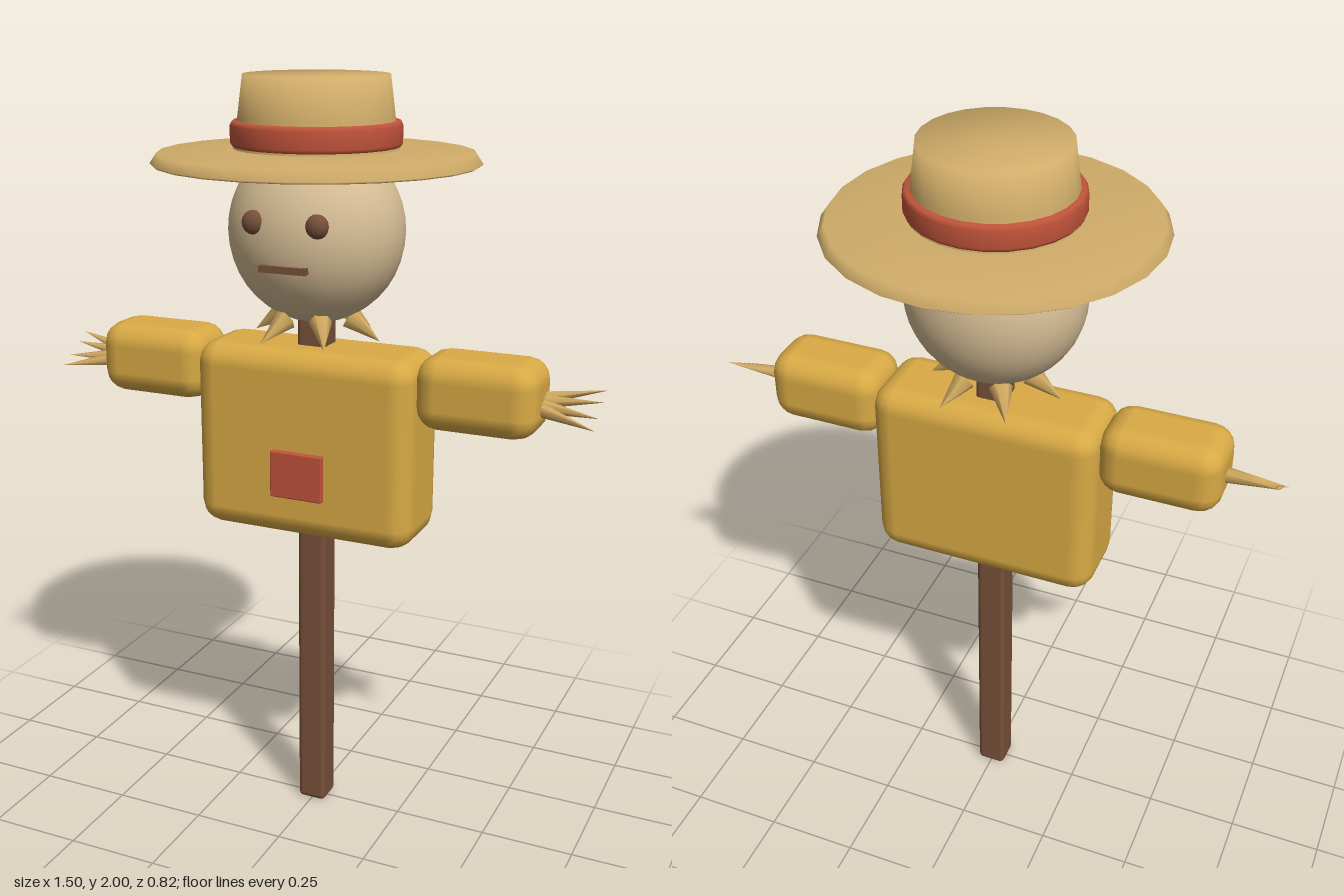
import * as THREE from 'three';
import { RoundedBoxGeometry } from 'three/addons/geometries/RoundedBoxGeometry.js';

const material = (name, color) => {
  const m = new THREE.MeshStandardMaterial({ color });
  m.name = name;
  return m;
};

export function createModel() {
  const shirt = material('shirt yellow', 0xd9aa45);
  const hat = material('hat tan', 0xcfac69);
  const straw = material('straw', 0xd4ac62);
  const burlap = material('burlap', 0xd6bd95);
  const wood = material('dark wood', 0x775039);
  const red = material('faded red', 0xc0533a);
  hat.side = THREE.DoubleSide;

  const model = new THREE.Group();
  model.name = 'scarecrow';

  const add = (name, geometry, mat, x = 0, y = 0, z = 0) => {
    const mesh = new THREE.Mesh(geometry, mat);
    mesh.name = name;
    mesh.position.set(x, y, z);
    model.add(mesh);
    return mesh;
  };
  const box = (name, mat, [w, h, d], radius, [x, y, z]) =>
    add(name, new RoundedBoxGeometry(w, h, d, 2, radius), mat, x, y, z);
  const lathe = (name, mat, points) =>
    add(name, new THREE.LatheGeometry(points.map(([r, y]) => new THREE.Vector2(r, y)), 24), mat);

  // Pointed straw stalk running from a base point to a tip
  const up = new THREE.Vector3(0, 1, 0);
  const stalk = (name, radius, from, to) => {
    const a = new THREE.Vector3(...from), b = new THREE.Vector3(...to);
    const dir = b.clone().sub(a);
    const mesh = add(name, new THREE.ConeGeometry(radius, dir.length(), 6), straw);
    mesh.position.copy(a).add(b).multiplyScalar(0.5);
    mesh.quaternion.setFromUnitVectors(up, dir.normalize());
  };

  // Post, body and patch
  box('post', wood, [0.08, 1.44, 0.08], 0.014, [0, 0.72, 0]);
  box('torso', shirt, [0.608, 0.505, 0.24], 0.06, [0, 1.077, 0]);
  box('patch', red, [0.146, 0.125, 0.03], 0.004, [0, 1.003, 0.12]);

  // Sleeves with a slanted fan of straw at each end
  for (const side of [1, -1]) {
    const label = side > 0 ? 'left' : 'right';
    box(label + 'Sleeve', shirt, [0.315, 0.192, 0.192], 0.06, [side * 0.452, 1.247, 0]);
    for (const t of [-1, -0.4, 0.4, 1]) {
      stalk(label + 'HandStraw', 0.02,
        [side * 0.59, 1.238 - t * 0.008, t * 0.014],
        [side * 0.75, 1.238 - t * 0.036, t * 0.058]);
    }
  }

  // Ring of straw round the neck
  for (let i = 0; i < 6; i++) {
    const a = i * Math.PI / 3, c = Math.cos(a), s = Math.sin(a);
    stalk('neckStraw', 0.03, [c * 0.095, 1.405, s * 0.095], [c * 0.175, 1.35, s * 0.175]);
  }

  // Head and face
  add('head', new THREE.SphereGeometry(1, 32, 20), burlap, 0, 1.62, 0).scale.set(0.228, 0.232, 0.204);
  for (const x of [-0.085, 0.085]) {
    add('eye', new THREE.SphereGeometry(1, 12, 8), wood, x, 1.66, 0.184).scale.set(0.03, 0.03, 0.022);
  }
  add('mouth', new THREE.BoxGeometry(0.125, 0.017, 0.03), wood, 0, 1.552, 0.19);

  // Hat: sloped brim, tapered crown and band
  lathe('hatBrim', hat, [[0, 1.795], [0.2, 1.795], [0.405, 1.785], [0.412, 1.79], [0.395, 1.815], [0.2, 1.824], [0, 1.824]]);
  lathe('hatCrown', hat, [[0.208, 1.815], [0.195, 1.9], [0.182, 2], [0, 2]]);
  lathe('hatBand', red, [[0.19, 1.828], [0.208, 1.829], [0.214, 1.838], [0.214, 1.88], [0.208, 1.89], [0.185, 1.891]]);

  return model;
}
